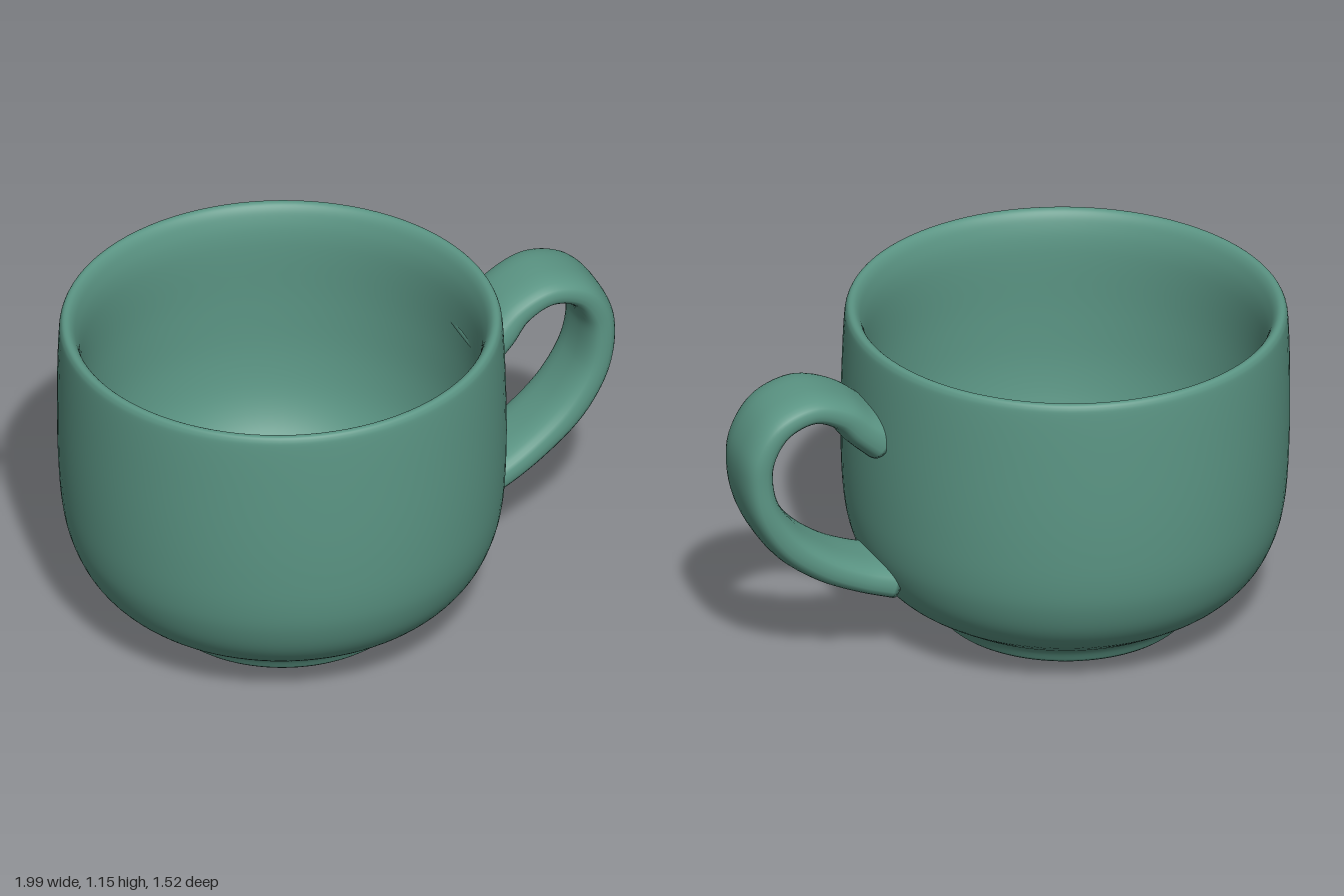
import * as THREE from 'three';

const V2 = (x, y) => new THREE.Vector2(x, y);
const V3 = (a) => new THREE.Vector3(...a);

// Smooth loft of flattened oval loops along a path; rows are [x, y, z, halfThickness, halfWidth]
function handleGeometry(rows, steps, sides) {
  const path = new THREE.CatmullRomCurve3(rows.map((r) => V3(r.slice(0, 3))), false, 'centripetal');
  const size = new THREE.CatmullRomCurve3(rows.map((r) => V3([r[3], r[4], 0])), false, 'catmullrom');
  const pos = [], idx = [];
  const soft = (c) => Math.sign(c) * Math.pow(Math.abs(c), 0.75);
  for (let i = 0; i <= steps; i++) {
    const t = i / steps;
    const p = path.getPoint(t), d = path.getTangent(t), s = size.getPoint(t);
    const len = Math.hypot(d.x, d.y);
    const nx = -d.y / len, ny = d.x / len;
    for (let j = 0; j < sides; j++) {
      const a = (j / sides) * Math.PI * 2;
      const n = soft(Math.cos(a)) * s.x, w = soft(Math.sin(a)) * s.y;
      pos.push(p.x + nx * n, p.y + ny * n, p.z + w);
      if (i < steps) {
        const k = (j + 1) % sides;
        const A = i * sides + j, B = i * sides + k, C = A + sides, D = B + sides;
        idx.push(A, B, C, B, D, C);
      }
    }
  }
  // End caps
  for (const [row, flip] of [[0, true], [steps, false]]) {
    const p = path.getPoint(row / steps), c = pos.length / 3;
    pos.push(p.x, p.y, p.z);
    for (let j = 0; j < sides; j++) {
      const A = row * sides + j, B = row * sides + (j + 1) % sides;
      idx.push(c, flip ? B : A, flip ? A : B);
    }
  }
  const g = new THREE.BufferGeometry();
  g.setAttribute('position', new THREE.Float32BufferAttribute(pos, 3));
  g.setIndex(idx);
  g.computeVertexNormals();
  return g;
}

export function createModel() {
  const green = new THREE.MeshStandardMaterial({ name: 'green glaze', color: 0x5b9584 });
  const grey = new THREE.MeshStandardMaterial({ name: 'bare grey', color: 0x808080, side: THREE.DoubleSide });
  const model = new THREE.Group();
  model.name = 'cup';

  // Bowl with slight lean: foot recess, outer wall, rim and hollow interior in one profile
  const bowl = new THREE.Group();
  bowl.name = 'bowl';
  bowl.position.set(-0.225, 0.005, 0);
  bowl.rotation.z = 0.01;
  model.add(bowl);

  const foot = [V2(0, 0.06), V2(0.33, 0.06), V2(0.365, 0.045), V2(0.38, 0.005), V2(0.39, 0), V2(0.415, 0), V2(0.425, 0.008)];
  const outside = new THREE.SplineCurve([
    V2(0.425, 0.008), V2(0.455, 0.055), V2(0.51, 0.09), V2(0.61, 0.155), V2(0.68, 0.235), V2(0.725, 0.335),
    V2(0.747, 0.44), V2(0.757, 0.58), V2(0.76, 0.75), V2(0.757, 0.95), V2(0.751, 1.09), V2(0.744, 1.127),
    V2(0.73, 1.138), V2(0.712, 1.13), V2(0.695, 1.1), V2(0.68, 1.04), V2(0.675, 0.95), V2(0.678, 0.75),
    V2(0.67, 0.55), V2(0.635, 0.38), V2(0.56, 0.26), V2(0.43, 0.19), V2(0.25, 0.16), V2(0, 0.15),
  ]).getPoints(115);
  outside[outside.length - 1].x = 0;
  const body = new THREE.Mesh(new THREE.LatheGeometry([...foot, ...outside.slice(1)], 96), green);
  body.name = 'body';
  bowl.add(body);

  // Unglazed patch under the foot (shape y becomes z)
  const patchShape = new THREE.Shape([V2(0.23, -0.02), V2(0.14, -0.27), V2(-0.18, -0.25), V2(-0.17, 0.1)]);
  const patch = new THREE.Mesh(new THREE.ShapeGeometry(patchShape), grey);
  patch.name = 'barePatch';
  patch.rotation.x = Math.PI / 2;
  patch.position.y = 0.056;
  bowl.add(patch);

  // Flat ear-shaped handle, flared where it meets the wall
  const handle = new THREE.Mesh(handleGeometry([
    [0.48, 0.835, -0.075, 0.08, 0.155],
    [0.555, 0.895, -0.08, 0.072, 0.15],
    [0.63, 0.965, -0.09, 0.06, 0.145],
    [0.745, 1.007, -0.1, 0.054, 0.145],
    [0.865, 0.967, -0.11, 0.056, 0.145],
    [0.93, 0.87, -0.115, 0.059, 0.143],
    [0.941, 0.775, -0.115, 0.059, 0.142],
    [0.915, 0.65, -0.115, 0.06, 0.142],
    [0.83, 0.515, -0.11, 0.063, 0.14],
    [0.7, 0.407, -0.1, 0.062, 0.14],
    [0.56, 0.335, -0.085, 0.062, 0.145],
    [0.44, 0.295, -0.08, 0.066, 0.15],
  ], 80, 32), green);
  handle.name = 'handle';
  model.add(handle);

  return model;
}
